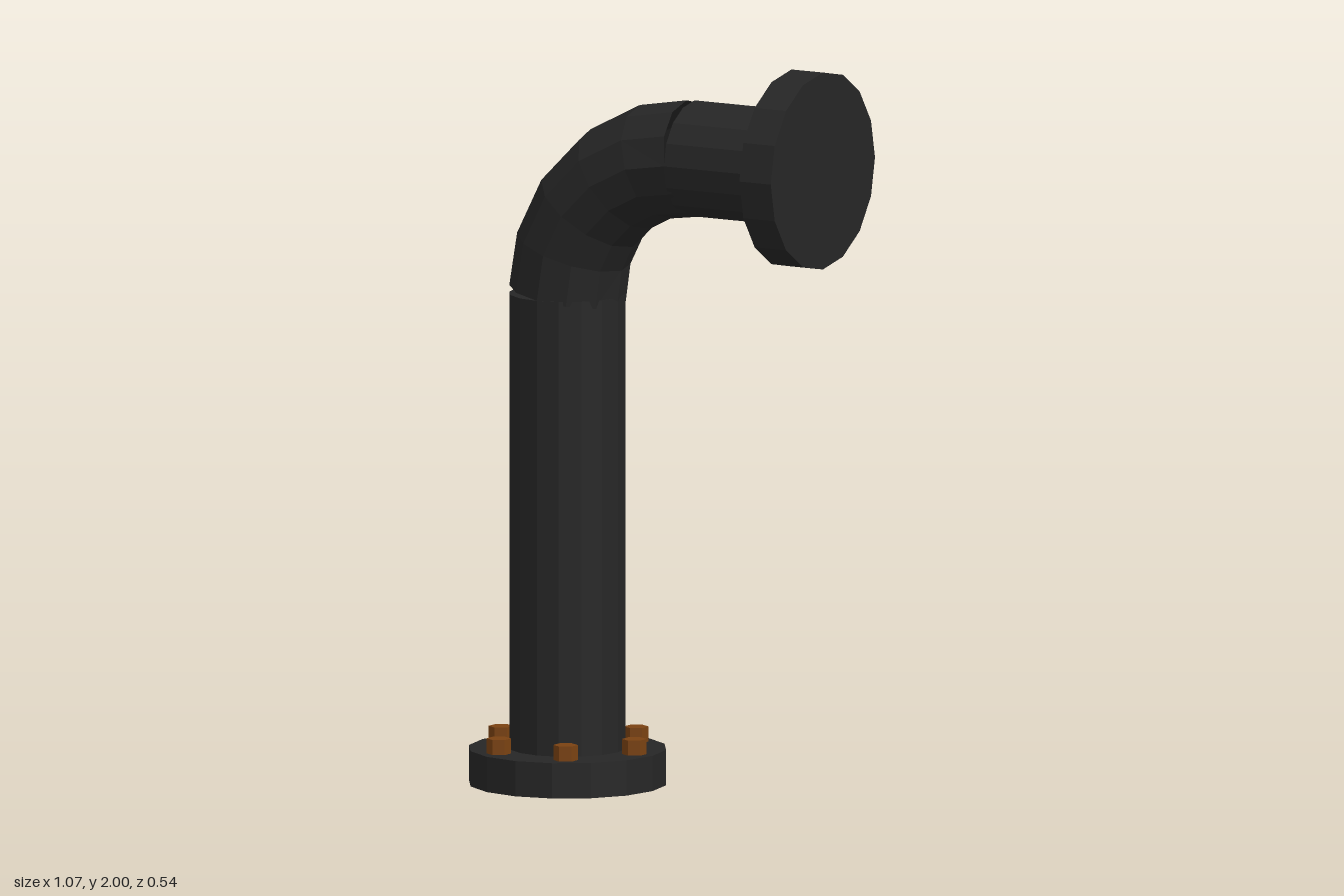
import * as THREE from 'three';

const PIPE_R = 0.158, FLANGE_R = 0.268, FLANGE_H = 0.096;
const RISER_X = -0.268, OUTLET_Y = 1.733, BEND_R = 0.4;
const BEND_X = RISER_X + BEND_R, BEND_Y = OUTLET_Y - BEND_R;

// Quarter bend: a straight tube whose rings are moved onto an arc.
// End rings follow the first and last chord, leaving small wedge gaps.
function elbowGeometry() {
  const segments = 5, half = Math.PI / 4 / segments;
  const geo = new THREE.CylinderGeometry(PIPE_R, PIPE_R, 1, 12, segments, true);
  const p = geo.attributes.position;
  for (let i = 0; i < p.count; i++) {
    const a = (p.getY(i) + 0.5) * Math.PI / 2;
    const tilt = THREE.MathUtils.clamp(a, half, Math.PI / 2 - half);
    const x = p.getX(i);
    p.setXY(i,
      BEND_X - BEND_R * Math.cos(a) + x * Math.cos(tilt),
      BEND_Y + BEND_R * Math.sin(a) - x * Math.sin(tilt));
  }
  geo.computeVertexNormals();
  return geo;
}

export function createModel() {
  const group = new THREE.Group();
  group.name = 'bentPipe';

  const iron = new THREE.MeshStandardMaterial({ color: 0x262626, flatShading: true, side: THREE.DoubleSide });
  iron.name = 'dark iron';
  const rust = new THREE.MeshStandardMaterial({ color: 0x7a4212, flatShading: true });
  rust.name = 'rusty bolt';

  function add(name, geometry, material) {
    const mesh = new THREE.Mesh(geometry, material);
    mesh.name = name;
    group.add(mesh);
    return mesh;
  }

  // Upright cylinder from y0 to y1
  function upright(name, r, y0, y1, sides, x, z, material) {
    const mesh = add(name, new THREE.CylinderGeometry(r, r, y1 - y0, sides), material);
    mesh.position.set(x, (y0 + y1) / 2, z);
  }

  // Horizontal cylinder from x0 to x1
  function horizontal(name, r, x0, x1) {
    const mesh = add(name, new THREE.CylinderGeometry(r, r, x1 - x0, 16), iron);
    mesh.rotation.z = -Math.PI / 2;
    mesh.position.set((x0 + x1) / 2, OUTLET_Y, 0);
  }

  upright('baseFlange', FLANGE_R, 0, FLANGE_H, 16, RISER_X, 0, iron);
  upright('riserPipe', PIPE_R, FLANGE_H - 0.02, BEND_Y, 16, RISER_X, 0, iron);
  add('elbow', elbowGeometry(), iron);
  horizontal('outletPipe', PIPE_R, BEND_X, 0.45);
  horizontal('outletFlange', FLANGE_R, 0.437, 0.536);

  // Ring of hex bolts on the base flange
  for (let i = 0; i < 6; i++) {
    const a = i * Math.PI / 3;
    upright('bolt' + (i + 1), 0.033, FLANGE_H - 0.02, 0.137, 6,
      RISER_X + 0.21 * Math.cos(a), 0.21 * Math.sin(a), rust);
  }
  return group;
}
